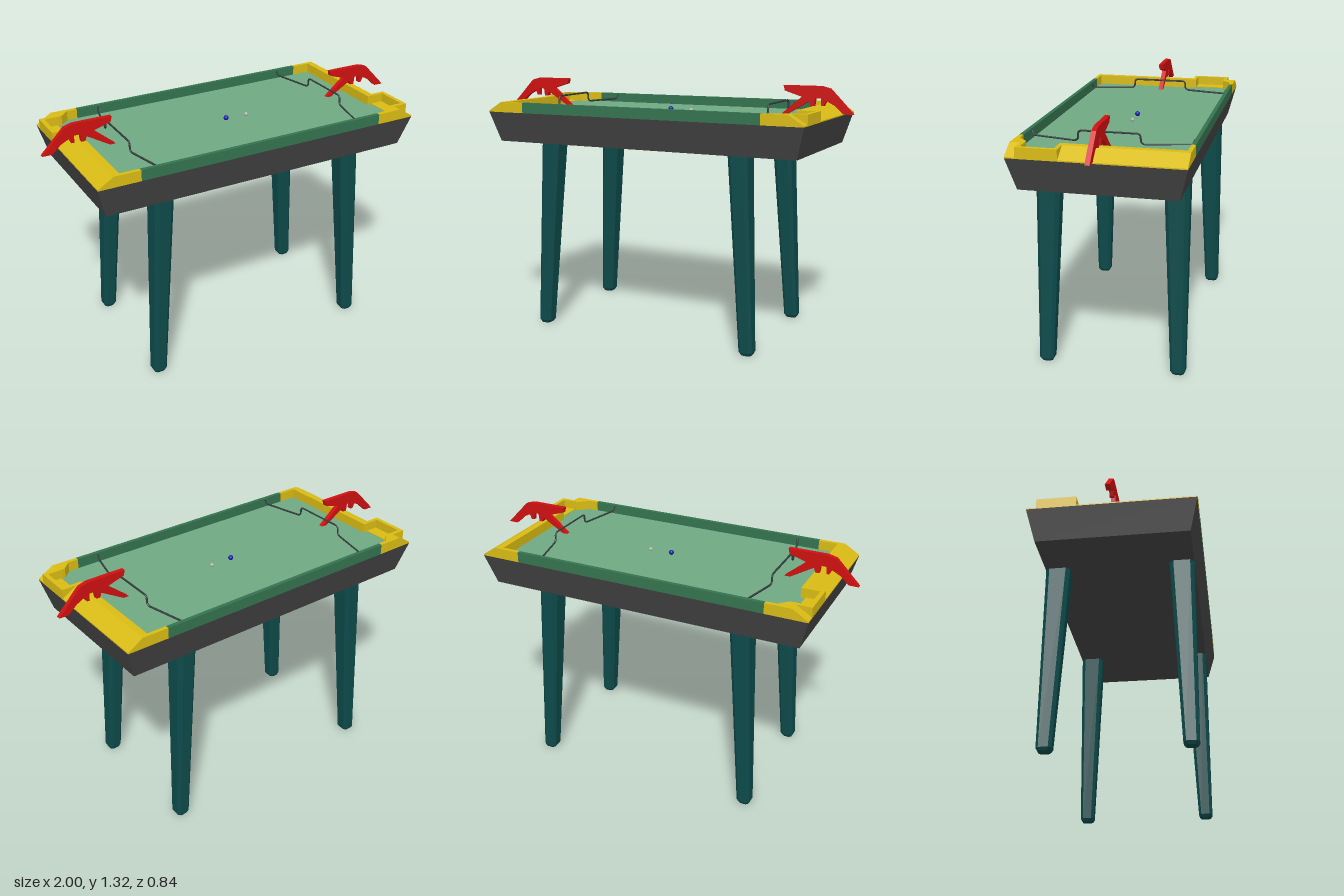
import * as THREE from 'three';

const mat = (color) => new THREE.MeshStandardMaterial({ color, flatShading: true });
const YELLOW = mat(0xd9bb14), GREEN = mat(0x34734f), FIELD = mat(0x70a882), RED = mat(0xcf1010);
const TEAL = mat(0x0d4a4a), DARK = mat(0x444444), WIRE = mat(0x333b3b);
const BASE = 1.16, TOP = 1.215, PLAY = 1.165;

function add(parent, name, geometry, material) {
  const mesh = new THREE.Mesh(geometry, material);
  mesh.name = name;
  parent.add(mesh);
  return mesh;
}

// box given by its limits
function box(x0, x1, y0, y1, z0, z1) {
  return new THREE.BoxGeometry(x1 - x0, y1 - y0, z1 - z0)
    .translate((x0 + x1) / 2, (y0 + y1) / 2, (z0 + z1) / 2);
}

const shapeOf = (pts) => new THREE.Shape(pts.map(([x, y]) => new THREE.Vector2(x, y)));

// side profile (x, y) swept from z0 to z1
function sweep(pts, z0, z1) {
  return new THREE.ExtrudeGeometry(shapeOf(pts), { depth: z1 - z0, bevelEnabled: false }).translate(0, 0, z0);
}

// floor plan (x, z) raised from y0 to y1
function raise(pts, y0, y1) {
  return new THREE.ExtrudeGeometry(shapeOf(pts.map(([x, z]) => [x, -z])), { depth: y1 - y0, bevelEnabled: false })
    .rotateX(-Math.PI / 2).translate(0, y0, 0);
}

// rectangle ring with cut corners, counter-clockwise from above
function ring(cx, cz, hx, hz, cut, y) {
  const a = hx - cut, b = hz - cut;
  const pts = cut > 0
    ? [[a, hz], [hx, b], [hx, -b], [a, -hz], [-a, -hz], [-hx, -b], [-hx, b], [-a, hz]]
    : [[hx, hz], [hx, -hz], [-hx, -hz], [-hx, hz]];
  return pts.map(([x, z]) => [cx + x, y, cz + z]);
}

// flat-sided solid through rings from bottom to top
function loft(rings) {
  const out = [], n = rings[0].length, last = rings[rings.length - 1];
  const tri = (a, b, c) => out.push(...a, ...b, ...c);
  for (let r = 0; r < rings.length - 1; r++) {
    for (let i = 0; i < n; i++) {
      const j = (i + 1) % n, lo = rings[r], hi = rings[r + 1];
      tri(lo[i], lo[j], hi[j]);
      tri(lo[i], hi[j], hi[i]);
    }
  }
  for (let i = 1; i < n - 1; i++) {
    tri(rings[0][0], rings[0][i + 1], rings[0][i]);
    tri(last[0], last[i], last[i + 1]);
  }
  const g = new THREE.BufferGeometry();
  g.setAttribute('position', new THREE.Float32BufferAttribute(out, 3));
  g.computeVertexNormals();
  return g;
}

// everything belonging to the +x half
function tableEnd() {
  const end = new THREE.Group();

  // end wall with a sloping outer top
  add(end, 'endWall', sweep([[0.77, BASE], [0.885, BASE], [0.885, 1.166], [0.805, TOP], [0.77, TOP]], -0.42, 0.17), YELLOW);
  add(end, 'endRail', box(0.67, 0.77, BASE, TOP, -0.42, -0.4), YELLOW);

  // goal pocket open towards the field
  add(end, 'goalPocket', raise([[0.77, 0.17], [0.885, 0.17], [0.885, 0.37], [0.79, 0.37], [0.79, 0.35],
    [0.863, 0.35], [0.863, 0.19], [0.77, 0.19]], BASE, TOP), YELLOW);
  add(end, 'pocketFloor', box(0.795, 0.865, BASE, 1.169, 0.185, 0.355), YELLOW);

  // chamfered corner block and its sloping outside
  add(end, 'cornerBlock', raise([[0.67, 0.42], [0.67, 0.4], [0.725, 0.398], [0.77, 0.353], [0.805, 0.35], [0.805, 0.42]], BASE, TOP), YELLOW);
  add(end, 'cornerSlope', sweep([[0.805, BASE], [0.885, BASE], [0.885, 1.166], [0.805, TOP]], 0.37, 0.42), YELLOW);

  // long side rail
  add(end, 'sideRail', box(-0.67, 0.67, BASE, TOP, 0.4, 0.42), GREEN);

  // flat pistol-shaped handle with trigger and front strut
  add(end, 'handle', sweep([[1, 1.187], [0.95, 1.187], [0.905, 1.228], [0.862, 1.25], [0.85, 1.225], [0.836, 1.225],
    [0.835, 1.262], [0.805, 1.262], [0.8, 1.222], [0.78, 1.222], [0.772, 1.245], [0.655, 1.175], [0.626, 1.175],
    [0.735, 1.267], [0.645, 1.295], [0.638, 1.322], [0.835, 1.322], [0.88, 1.31]], -0.012, 0.012), RED);

  // bent wire across the field, raised in the middle
  const path = new THREE.CurvePath();
  const half = [[0.553, 1.208, 0.398], [0.557, 1.185, 0.388], [0.608, 1.185, 0.165], [0.61, 1.195, 0.152],
    [0.61, 1.225, 0.15], [0.61, 1.235, 0.14]];
  const pts = [...half, ...half.map(([x, y, z]) => [x, y, -z]).reverse()].map((p) => new THREE.Vector3(...p));
  for (let i = 0; i < pts.length - 1; i++) path.add(new THREE.LineCurve3(pts[i], pts[i + 1]));
  add(end, 'wire', new THREE.TubeGeometry(path, 120, 0.005, 6), WIRE);
  return end;
}

export function createModel() {
  const model = new THREE.Group();
  model.name = 'gameTable';

  // tapered tray and playing field
  add(model, 'tray', loft([ring(0, 0, 0.84, 0.38, 0, 1), ring(0, 0, 0.885, 0.42, 0, BASE)]), DARK);
  add(model, 'field', box(-0.8, 0.8, BASE, PLAY, -0.4, 0.4), FIELD);

  // two identical ends, turned half round
  for (const side of [0, 1]) {
    const end = tableEnd();
    end.name = side ? 'rightEnd' : 'leftEnd';
    end.rotation.y = side * Math.PI;
    model.add(end);
  }

  // splayed, tapered legs with cut corners
  for (const sx of [-1, 1]) {
    for (const sz of [-1, 1]) {
      add(model, 'leg', loft([
        ring(sx * 0.595, sz * 0.3425, 0.027, 0.029, 0.012, 0),
        ring(sx * 0.594, sz * 0.3425, 0.036, 0.0375, 0.014, 0.016),
        ring(sx * 0.535, sz * 0.3175, 0.051, 0.0625, 0.02, 1.001),
      ]), TEAL);
    }
  }

  // balls
  const ball = (name, x, r, color) => add(model, name, new THREE.SphereGeometry(r, 16, 12),
    new THREE.MeshStandardMaterial({ color })).position.set(x, PLAY + r, 0);
  ball('blueBall', 0, 0.013, 0x1818b0);
  ball('greyBall', 0.12, 0.01, 0xb0b8b0);
  return model;
}
